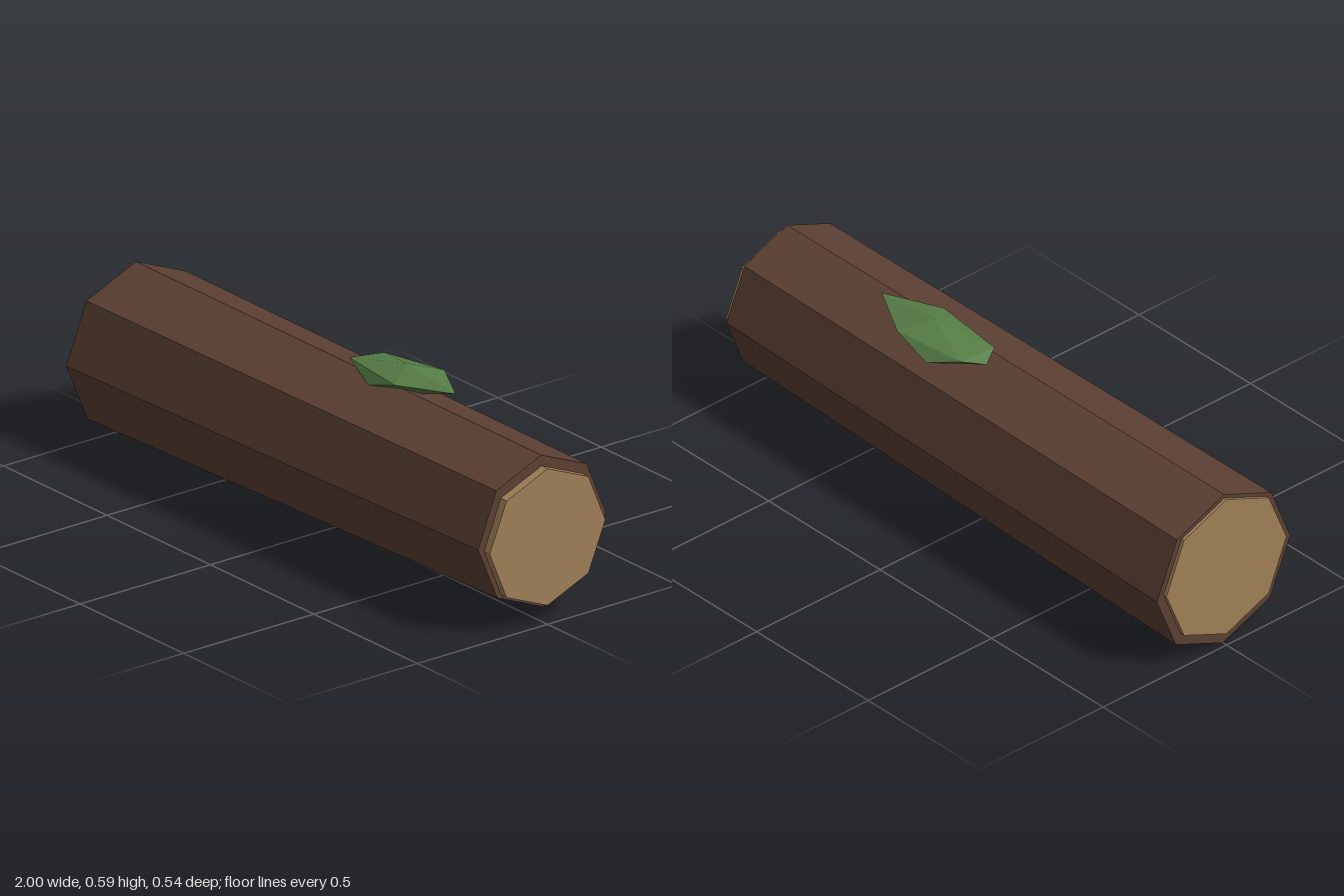
import * as THREE from 'three';
import { ConvexGeometry } from 'three/addons/geometries/ConvexGeometry.js';

export function createModel() {
  const model = new THREE.Group();
  model.name = 'fallenLog';

  const flat = (name, color) => {
    const m = new THREE.MeshStandardMaterial({ color, flatShading: true });
    m.name = name;
    return m;
  };
  const bark = flat('bark', 0x5c4033);
  const cutWood = flat('cutWood', 0xa08058);
  const leafGreen = flat('leafGreen', 0x567d46);

  const add = (name, geometry, material) => {
    const mesh = new THREE.Mesh(geometry, material);
    mesh.name = name;
    model.add(mesh);
    return mesh;
  };

  // Eight-sided prism lying along x, with one corner pointing straight up
  const lyingPrism = (rightRadius, leftRadius, length) =>
    new THREE.CylinderGeometry(rightRadius, leftRadius, length, 8)
      .rotateY(Math.PI / 2)
      .rotateZ(-Math.PI / 2);

  // Tapered trunk, tilted a little so that its top edge runs level
  const trunk = add('trunk', lyingPrism(0.245, 0.27, 1.96), bark);
  trunk.position.set(-0.007, 0.283, 0);
  trunk.rotation.z = 0.0128;

  // Pale cut faces, one at each end
  for (const [name, side, radius] of [['leftCutFace', 1, 0.222], ['rightCutFace', -1, 0.243]]) {
    const disc = add(name, lyingPrism(radius, radius, 0.04), cutWood);
    disc.position.set(side * 0.98, 0.284, 0);
  }

  // Thick faceted leaf resting on the back slope of the trunk
  const leafPoints = [
    [0.24, 0.59, -0.06], [0.48, 0.566, -0.06], [0.01, 0.54, -0.06],
    [0.30, 0.56, 0.03], [0.04, 0.56, 0.0], [0.18, 0.524, 0.037],
    [0.30, 0.562, -0.16], [0.16, 0.52, -0.168], [0.06, 0.552, -0.12],
    [0.32, 0.52, -0.12], [0.24, 0.49, -0.06],
  ].map((p) => new THREE.Vector3(...p));
  add('leaf', new ConvexGeometry(leafPoints), leafGreen);

  return model;
}
